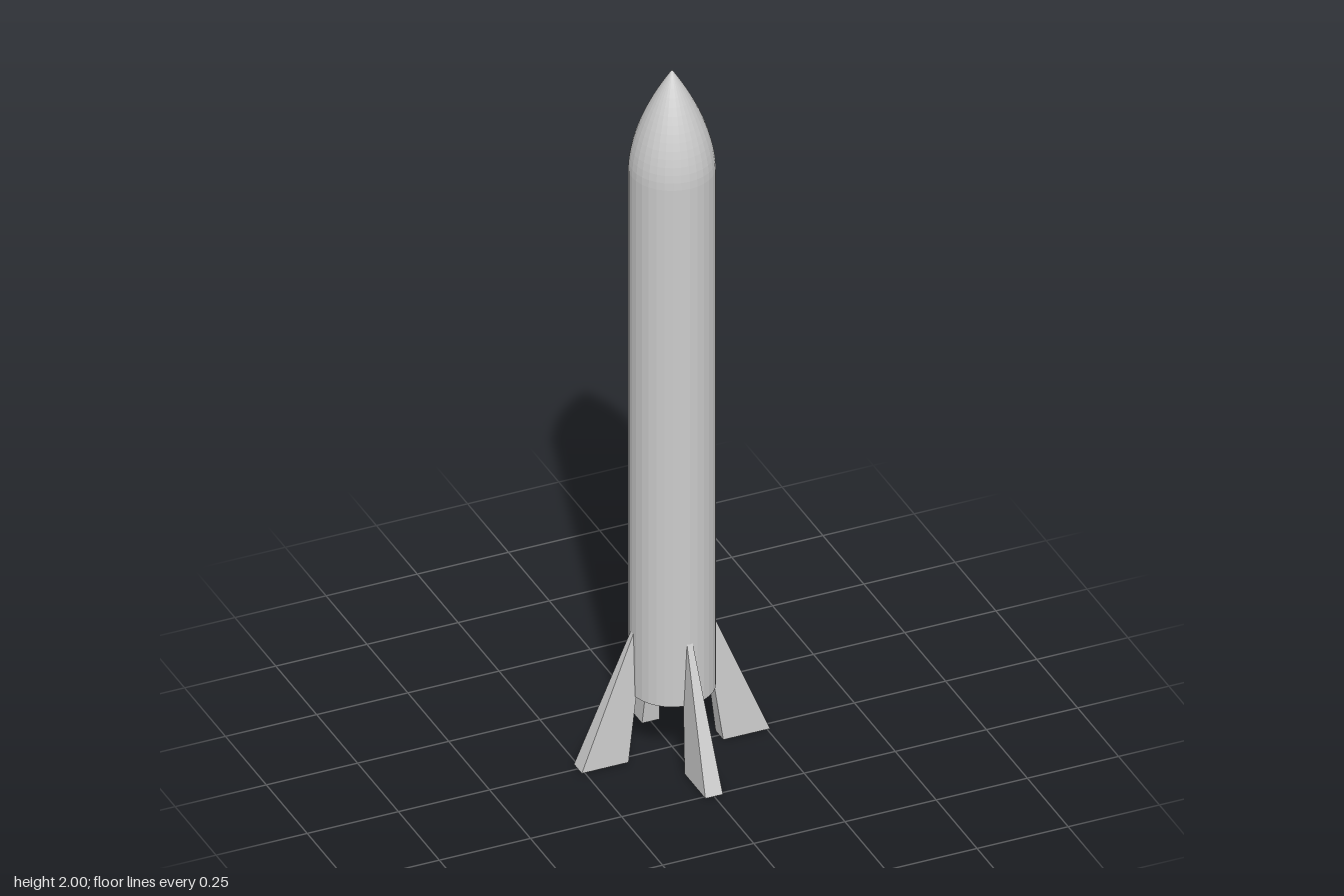
import * as THREE from 'three';

export function createModel() {
  const model = new THREE.Group();
  const material = new THREE.MeshStandardMaterial({ color: 0xcccccc, flatShading: true });
  const add = (name, geometry) => {
    const mesh = new THREE.Mesh(geometry, material);
    mesh.name = name;
    model.add(mesh);
    return mesh;
  };

  const radius = 0.11, bottom = 0.185, shoulder = 1.71, tip = 2, sides = 32;

  // Straight body with a closed base
  const body = [[0, bottom], [radius, bottom], [radius, shoulder]];
  add('body', new THREE.LatheGeometry(body.map(p => new THREE.Vector2(...p)), sides));

  // Pointed nose that curves in from the shoulder
  const nose = [];
  for (let i = 0; i <= 14; i++) {
    const t = i / 14;
    nose.push(new THREE.Vector2(radius * (1 - t ** 1.75), shoulder + (tip - shoulder) * t));
  }
  add('noseCone', new THREE.LatheGeometry(nose, sides));

  // Fin: a box tapered upward in depth and thickness, its top buried in the body
  const height = 0.43;
  const finGeometry = new THREE.BoxGeometry(1, height, 1).translate(0, height / 2, 0);
  const pos = finGeometry.attributes.position;
  for (let i = 0; i < pos.count; i++) {
    const top = pos.getY(i) > height / 2;
    const outer = pos.getX(i) > 0;
    const x = top ? (outer ? 0.083 : 0.072) : (outer ? 0.258 : 0.13);
    pos.setXYZ(i, x, pos.getY(i), Math.sign(pos.getZ(i)) * (top ? 0.005 : 0.024));
  }
  finGeometry.computeVertexNormals();

  // Four fins around the base
  ['leftFin', 'backFin', 'rightFin', 'frontFin'].forEach((name, i) => {
    add(name, finGeometry).rotation.y = i * Math.PI / 2;
  });

  return model;
}
